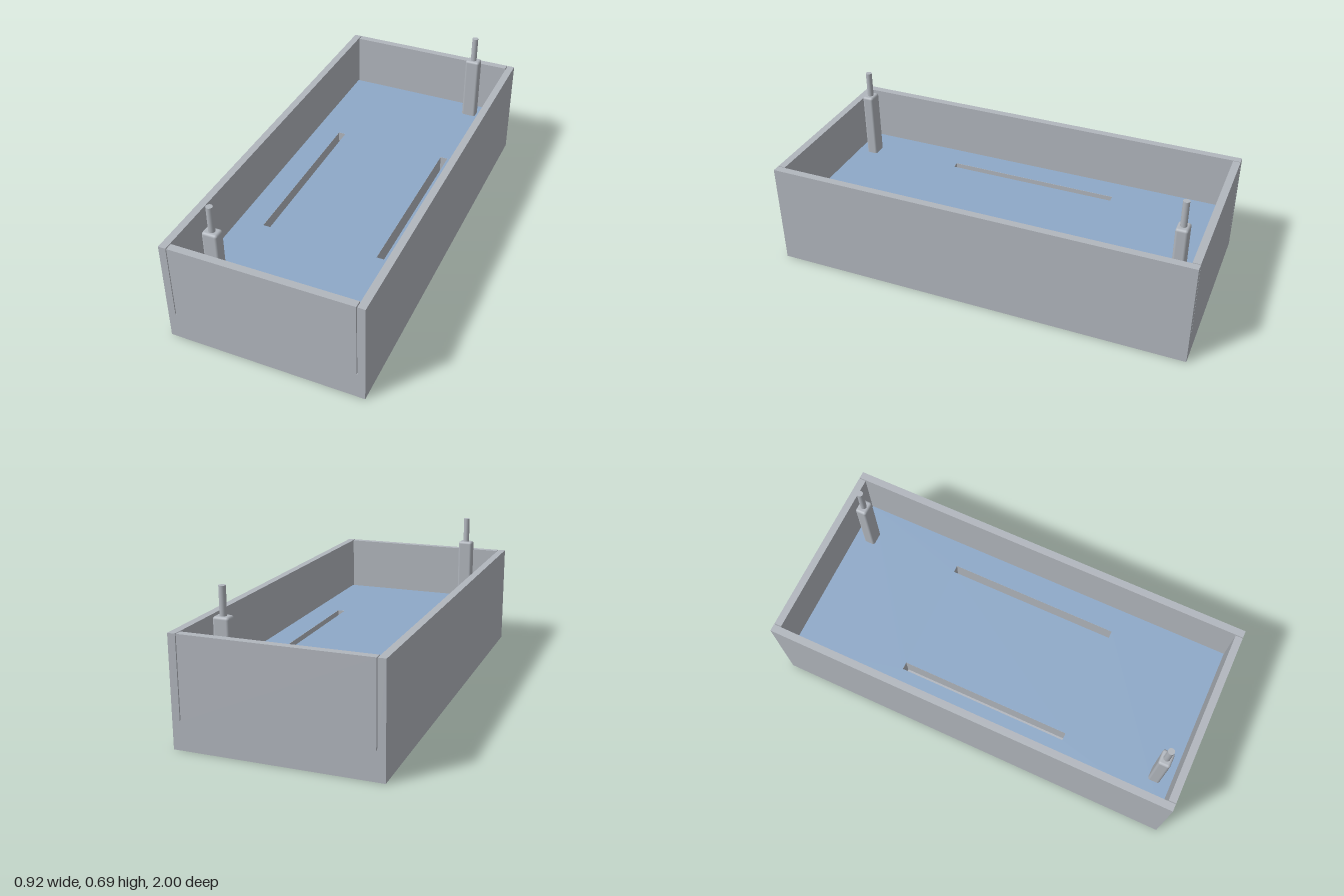
import * as THREE from 'three';
import { RoundedBoxGeometry } from 'three/addons/geometries/RoundedBoxGeometry.js';

const HALF_W = 0.46, HALF_L = 1, HEIGHT = 0.5;
const INNER_W = 0.425, INNER_L = 0.965;
const BASE = 0.13, DECK = 0.233;

export function createModel() {
  const model = new THREE.Group();
  model.name = 'slottedTray';
  const grey = new THREE.MeshStandardMaterial({ color: 0xb1b6bd });
  grey.name = 'grey';
  const blue = new THREE.MeshStandardMaterial({ color: 0x8ea9c8 });
  blue.name = 'blue';

  function add(name, geometry, material, x, y, z, parent = model) {
    const mesh = new THREE.Mesh(geometry, material);
    mesh.name = name;
    mesh.position.set(x, y, z);
    parent.add(mesh);
    return mesh;
  }
  function box(name, w, y0, y1, d, x, z) {
    return add(name, new THREE.BoxGeometry(w, y1 - y0, d), grey, x, (y0 + y1) / 2, z);
  }

  // Solid base
  box('base', HALF_W * 2, 0, BASE, HALF_L * 2, 0, 0);

  // Long walls, and end panels separated from them by narrow slits
  const wall = HALF_W - INNER_W, end = HALF_L - INNER_L;
  for (const s of [-1, 1]) {
    box('sideWall', wall, BASE, HEIGHT, HALF_L * 2, s * (HALF_W - wall / 2), 0);
    box('endPanel', 0.842, BASE, HEIGHT, end, 0, s * (HALF_L - end / 2));
  }

  // Deck outline with two long grooves
  function rectangle(Type, x0, x1, z0, z1) {
    const r = new Type();
    r.moveTo(x0, z0).lineTo(x1, z0).lineTo(x1, z1).lineTo(x0, z1).closePath();
    return r;
  }
  const outline = rectangle(THREE.Shape, -INNER_W, INNER_W, -INNER_L, INNER_L);
  for (const s of [-1, 1]) {
    outline.holes.push(rectangle(THREE.Path, s * 0.284 - 0.018, s * 0.284 + 0.018, -0.423, 0.423));
  }
  const bed = new THREE.ExtrudeGeometry(outline, { depth: DECK - BASE, bevelEnabled: false });
  add('groovedBed', bed.rotateX(-Math.PI / 2), grey, 0, BASE, 0);
  const surface = new THREE.ShapeGeometry(outline).rotateX(-Math.PI / 2);
  add('blueDeck', surface, blue, 0, DECK + 0.001, 0);

  // Diagonally opposed posts with slim rods
  for (const s of [-1, 1]) {
    const post = new THREE.Group();
    post.name = 'post';
    post.position.set(s * 0.268, 0, -s * 0.886);
    const y0 = 0.2, y1 = 0.56;
    add('postBlock', new RoundedBoxGeometry(0.073, y1 - y0, 0.056, 3, 0.012), grey, 0, (y0 + y1) / 2, 0, post);
    add('rod', new THREE.CylinderGeometry(0.015, 0.015, 0.135, 24), grey, 0, 0.6175, 0, post);
    model.add(post);
  }

  // Small round inset on the underside
  const disc = new THREE.CircleGeometry(0.045, 32).rotateX(Math.PI / 2);
  add('undersideDisc', disc, blue, -0.34, -0.001, 0.886);

  return model;
}
